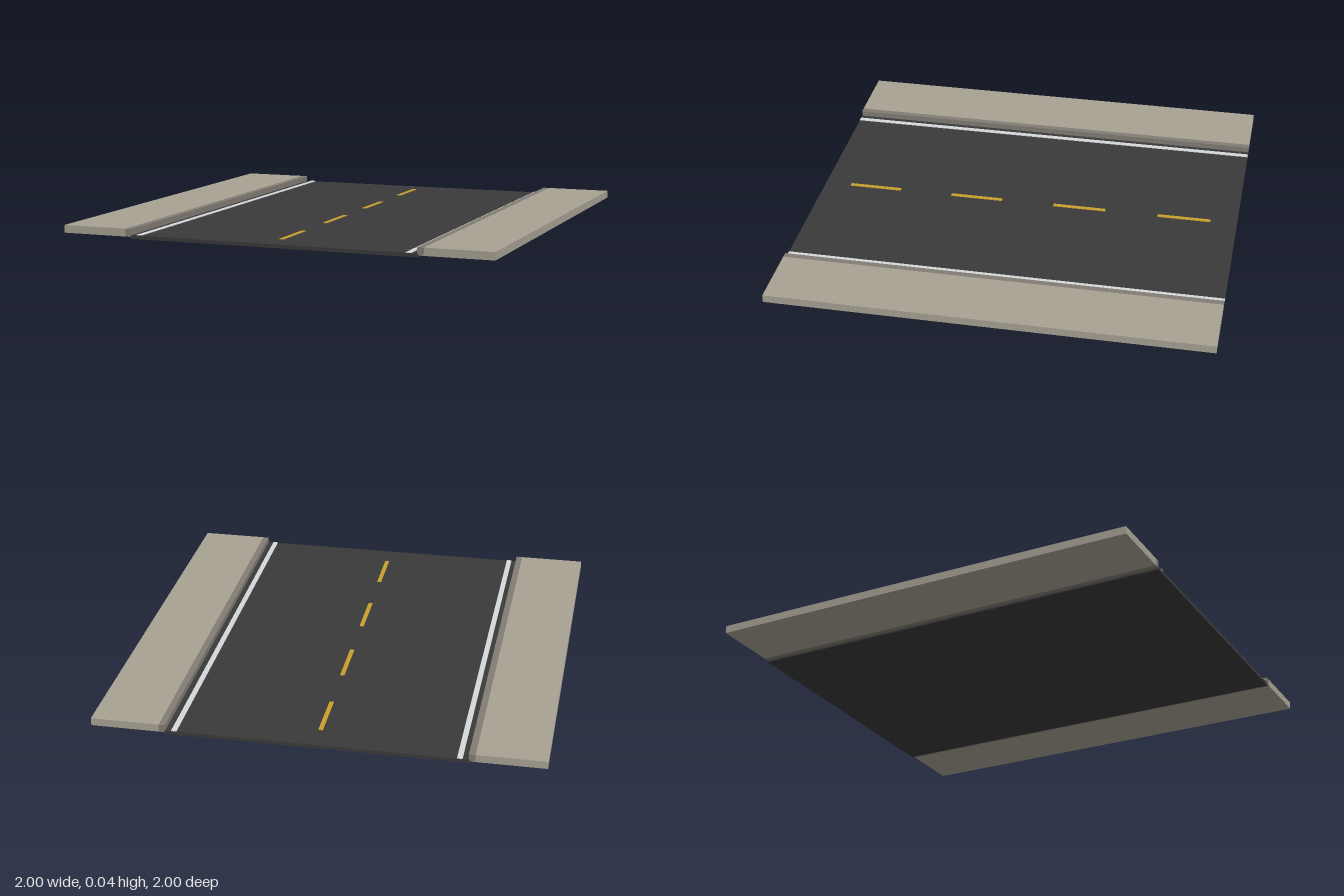
import * as THREE from 'three';

const paint = (name, color) => {
  const material = new THREE.MeshStandardMaterial({ color });
  material.name = name;
  return material;
};

export function createModel() {
  const asphalt = paint('asphalt', 0x3a3a3a);
  const paving = paint('paving', 0xa8a294);
  const kerbStone = paint('kerb stone', 0x827d75);
  const white = paint('white paint', 0xd6d8da);
  const yellow = paint('yellow paint', 0xc9a02c);

  const road = new THREE.Group();
  road.name = 'roadSection';

  // Box given by its x, y and z ranges
  const slab = (name, material, [x0, x1], [y0, y1], [z0, z1]) => {
    const mesh = new THREE.Mesh(new THREE.BoxGeometry(x1 - x0, y1 - y0, z1 - z0), material);
    mesh.position.set((x0 + x1) / 2, (y0 + y1) / 2, (z0 + z1) / 2);
    mesh.name = name;
    road.add(mesh);
  };

  const length = [-1, 1];
  const raised = [0.008, 0.043];
  const marking = [0.0155, 0.0195];

  // Carriageway
  slab('carriageway', asphalt, [-0.667, 0.667], [0, 0.0165], length);

  // Sidewalk, kerb and edge line on each side
  for (const [side, sign] of [['left', 1], ['right', -1]]) {
    const span = (a, b) => (sign > 0 ? [a, b] : [-b, -a]);
    slab(side + 'Sidewalk', paving, span(0.693, 1), raised, length);
    slab(side + 'Kerb', kerbStone, span(0.664, 0.693), raised, length);
    slab(side + 'EdgeLine', white, span(0.614, 0.638), marking, length);
  }

  // Dashed centre line
  for (let i = 0; i < 4; i++) {
    const z = -0.75 + i * 0.5;
    slab('centreDash' + (i + 1), yellow, [-0.01, 0.01], marking, [z - 0.125, z + 0.125]);
  }
  return road;
}
